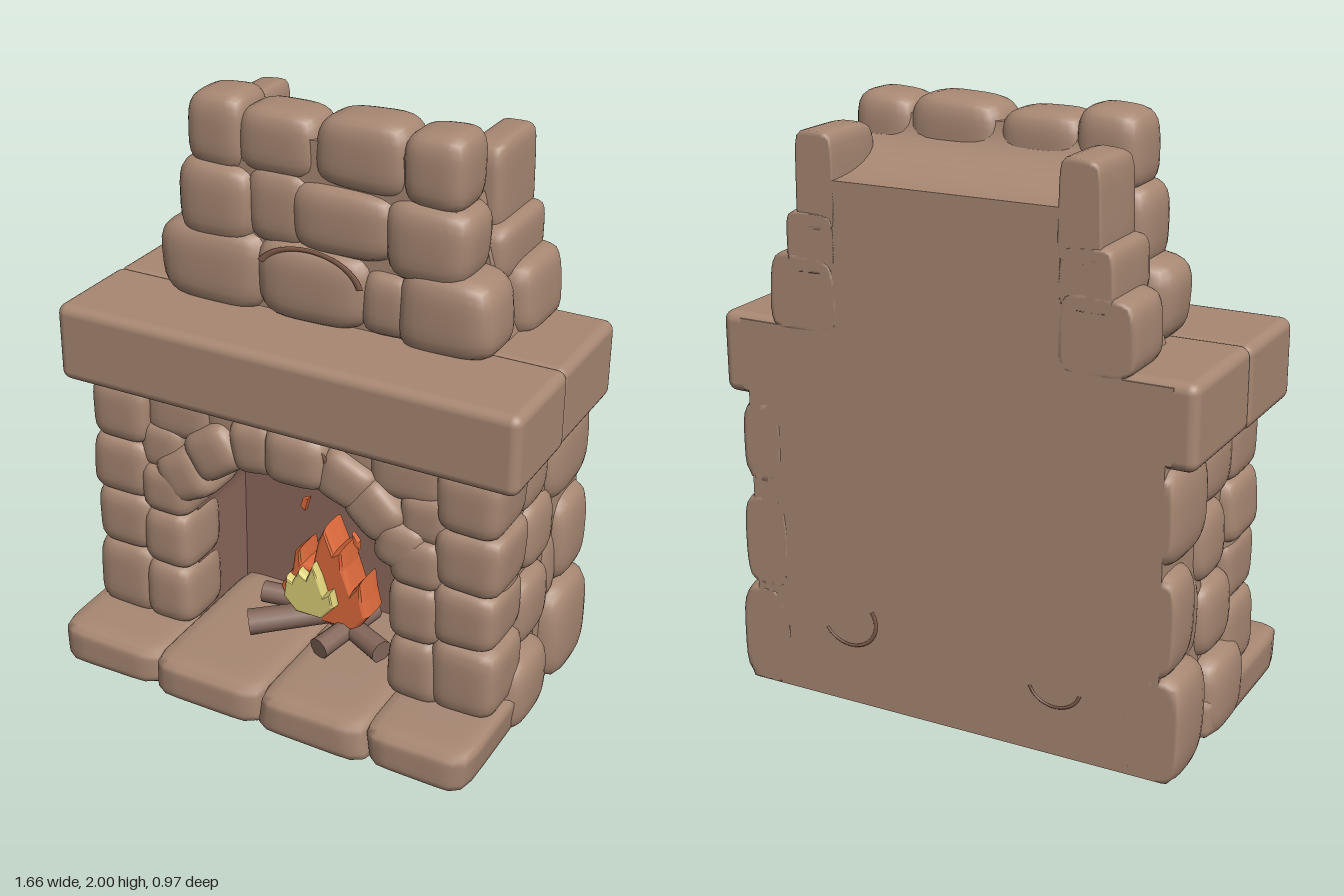
import * as THREE from 'three';
import { mergeVertices } from 'three/addons/utils/BufferGeometryUtils.js';
import { RoundedBoxGeometry } from 'three/addons/geometries/RoundedBoxGeometry.js';

const BACK = -0.48;

export function createModel() {
  const root = new THREE.Group();
  root.name = 'fireplace';
  const mat = (name, color, side = THREE.FrontSide) => {
    const m = new THREE.MeshStandardMaterial({ color, side });
    m.name = name;
    return m;
  };
  const stoneMat = mat('stone', 0xa88873);
  const groutMat = mat('grout', 0x87604f);
  const sootMat = mat('firebox', 0x8c695c, THREE.DoubleSide);
  const woodMat = mat('wood', 0x84675a);
  const orange = mat('flameOrange', 0xdd6a3c);
  const yellow = mat('flameYellow', 0xdccf78);

  let seed = 7;
  const rand = () => (seed = (seed * 16807) % 2147483647) / 2147483647 - 0.5;

  const add = (name, geo, material, parent = root) => {
    const mesh = new THREE.Mesh(geo, material);
    mesh.name = name;
    parent.add(mesh);
    return mesh;
  };
  const group = (name) => {
    const g = new THREE.Group();
    g.name = name;
    root.add(g);
    return g;
  };

  // Pillow-shaped stone filling the given bounds, cut flat at the back and floor
  function stone(parent, x0, x1, y0, y1, z0, z1, p = 4.5, turn = 0) {
    let g = new THREE.BoxGeometry(2, 2, 2, 8, 8, 8);
    g.deleteAttribute('uv');
    g.deleteAttribute('normal');
    g = mergeVertices(g);
    const pos = g.attributes.position;
    const v = new THREE.Vector3();
    const sx = rand() * 0.14, sy = rand() * 0.14;
    for (let i = 0; i < pos.count; i++) {
      v.fromBufferAttribute(pos, i);
      const n = (Math.abs(v.x) ** p + Math.abs(v.y) ** p + Math.abs(v.z) ** p) ** (1 / p);
      v.divideScalar(n);
      const x = v.x * (1 + sx * v.y), y = v.y * (1 + sy * v.x);
      v.set(x * (x1 - x0) / 2, y * (y1 - y0) / 2, v.z * (z1 - z0) / 2);
      v.applyAxisAngle(new THREE.Vector3(0, 0, 1), turn);
      v.add(new THREE.Vector3((x0 + x1) / 2, (y0 + y1) / 2, (z0 + z1) / 2));
      pos.setXYZ(i, v.x, Math.max(v.y, 0), Math.max(v.z, BACK));
    }
    g.computeVertexNormals();
    return add('stone', g, stoneMat, parent);
  }
  // Same stone on both sides of the model
  const pair = (parent, x0, x1, ...rest) => {
    stone(parent, x0, x1, ...rest);
    stone(parent, -x1, -x0, ...rest);
  };

  const extrude = (shape, z0, z1) =>
    new THREE.ExtrudeGeometry(shape, { depth: z1 - z0, bevelEnabled: false, curveSegments: 20 }).translate(0, 0, z0);
  const poly = (pts) => new THREE.Shape(pts.map(([x, y]) => new THREE.Vector2(x, y)));
  const arch = (r, Base = THREE.Shape) => {
    const s = new Base();
    s.moveTo(-r, 0.08);
    s.lineTo(r, 0.08);
    s.lineTo(r, 0.53);
    s.absellipse(0, 0.53, r, r - 0.09, 0, Math.PI, false);
    s.lineTo(-r, 0.08);
    return s;
  };

  // Masonry core with the arched firebox
  const front = poly([[-0.72, 0], [0.72, 0], [0.72, 1.04], [-0.72, 1.04]]);
  front.holes.push(arch(0.4, THREE.Path));
  add('bodyFront', extrude(front, -0.16, 0.2), stoneMat);
  add('bodyBack', new THREE.BoxGeometry(1.46, 1.04, 0.32).translate(0, 0.52, -0.32), stoneMat);
  const lining = arch(0.405);
  lining.holes.push(arch(0.392, THREE.Path));
  add('fireboxWalls', extrude(lining, -0.15, 0.17), sootMat);
  add('fireboxBack', new THREE.ShapeGeometry(arch(0.4), 20).translate(0, 0, -0.15), sootMat);

  // Jambs: inner and outer columns of stones
  const jambs = group('jambs');
  [[0.12, 0.37], [0.35, 0.58], [0.56, 0.75]].forEach(([a, b]) => pair(jambs, 0.375, 0.57, a, b, 0.02, 0.265));
  [[0.12, 0.4], [0.38, 0.61], [0.59, 0.82], [0.8, 1.03]].forEach(([a, b], i) =>
    pair(jambs, 0.53, 0.77 - (i % 2) * 0.01, a, b, 0.0, 0.26, 5));
  pair(jambs, 0.4, 0.58, 0.72, 0.9, 0.02, 0.24);
  pair(jambs, 0.28, 0.56, 0.85, 1.04, 0.02, 0.23);
  pair(jambs, 0.08, 0.34, 0.9, 1.04, 0.02, 0.22);

  // Arch stones
  const ring = group('archStones');
  [[-0.4, 0.73, 0.2, 0.2, 0.5], [-0.28, 0.85, 0.22, 0.19, 0.6], [-0.12, 0.91, 0.19, 0.2, 0.15],
    [0.04, 0.92, 0.24, 0.21, 0], [0.21, 0.88, 0.2, 0.19, -0.4], [0.32, 0.8, 0.2, 0.19, -0.75],
    [0.41, 0.7, 0.18, 0.19, -0.2]].forEach(([x, y, w, h, t], i) =>
    stone(ring, x - w / 2, x + w / 2, y - h / 2, y + h / 2, 0.02, 0.265 + (i === 3 ? 0.02 : 0), 4, t));

  // Stones on the side walls: z range, y range, outer x
  const sides = group('sideStones');
  [[-0.52, -0.17, 0.7, 1.03, 0.775], [-0.24, 0.0, 0.54, 0.8, 0.765], [-0.54, -0.27, 0.34, 0.69, 0.78],
    [-0.21, 0.05, 0.27, 0.54, 0.775], [-0.54, -0.21, -0.03, 0.36, 0.805], [-0.18, 0.12, -0.03, 0.27, 0.805],
    [-0.19, 0.06, 0.78, 1.03, 0.755], [0.0, 0.2, 0.5, 0.8, 0.75], [-0.33, -0.18, 0.3, 0.6, 0.745]]
    .forEach(([z0, z1, y0, y1, x]) => pair(sides, 0.6, x, y0, y1, z0, z1, 3.2));

  // Hearth slabs
  const hearth = group('hearth');
  [[-0.79, -0.385, 0.465], [-0.4, 0.025, 0.485], [0.01, 0.425, 0.49], [0.41, 0.775, 0.475]].forEach(([a, b, z]) =>
    stone(hearth, a, b, -0.01, 0.142, -0.2, z, 9));

  // Mantel: long front beam and two returns to the back
  const mantel = group('mantel');
  const slab = (x0, x1, z0, z1) => add('mantelStone', new RoundedBoxGeometry(x1 - x0, 0.275, z1 - z0, 3, 0.035)
    .translate((x0 + x1) / 2, 1.16, (z0 + z1) / 2), stoneMat, mantel);
  slab(-0.83, 0.83, -0.07, 0.31);
  slab(0.3, 0.825, BACK, -0.04);
  slab(-0.825, -0.3, BACK, -0.04);
  add('mantelCore', new THREE.BoxGeometry(1.5, 0.24, 0.42).translate(0, 1.16, -0.27), stoneMat, mantel);

  // Chimney core: front wall, back block and the hollow sweep between them
  const chimney = group('chimney');
  add('frontWall', extrude(poly([[-0.55, 1.28], [0.55, 1.28], [0.43, 1.9], [-0.43, 1.9]]), -0.17, -0.01), stoneMat, chimney);
  add('backBlock', extrude(poly([[-0.59, 1.28], [0.59, 1.28], [0.46, 1.76], [-0.46, 1.76]]), BACK, -0.15), stoneMat, chimney);
  const sweep = new THREE.Shape();
  sweep.moveTo(BACK, 1.7);
  sweep.lineTo(-0.12, 1.7);
  sweep.lineTo(-0.12, 1.93);
  sweep.lineTo(-0.17, 1.93);
  sweep.quadraticCurveTo(-0.2, 1.77, BACK, 1.765);
  add('hollow', extrude(sweep, -0.41, 0.41).rotateY(-Math.PI / 2), stoneMat, chimney);

  // Chimney front stones, row by row: x range, y range, front z
  [[-0.61, -0.2, 1.27, 1.56, 0.05], [-0.24, 0.18, 1.28, 1.56, 0.05], [0.14, 0.34, 1.29, 1.52, 0.03], [0.27, 0.61, 1.27, 1.56, 0.05],
    [-0.53, -0.24, 1.5, 1.78, 0.045], [-0.28, -0.04, 1.52, 1.79, 0.02], [-0.12, 0.27, 1.53, 1.77, 0.035], [0.22, 0.52, 1.5, 1.77, 0.04],
    [-0.5, -0.28, 1.74, 2.0, 0.02], [-0.32, -0.02, 1.75, 1.975, 0.01], [-0.04, 0.3, 1.75, 1.995, 0.015], [0.27, 0.49, 1.74, 1.99, 0.02]]
    .forEach(([x0, x1, y0, y1, z]) => stone(chimney, x0, x1, y0, y1, -0.2, z, 3.8));
  // Chimney side stones
  pair(chimney, 0.38, 0.63, 1.27, 1.52, -0.56, -0.22);
  pair(chimney, 0.38, 0.56, 1.46, 1.66, -0.56, -0.17);
  pair(chimney, 0.38, 0.515, 1.6, 1.91, -0.56, -0.21, 6);

  // Mortar arcs: x, y, z, radius x, radius y, start, length
  const mortar = group('mortar');
  [[-0.03, 1.43, 0.035, 0.19, 0.12, 0.2, 2.5], [0.37, 0.3, BACK, 0.1, 0.09, 2.6, 3.2],
    [-0.38, 0.25, BACK, 0.09, 0.08, 3.4, 2.6], [0.04, 0.91, 0.25, 0.12, 0.11, -0.7, 1.3],
    [-0.54, 0.25, 0.225, 0.02, 0.1, 2.2, 2], [0.55, 0.25, 0.225, 0.02, 0.1, -1, 2]]
    .forEach(([x, y, z, rx, ry, start, len]) => {
      const arc = add('mortarArc', new THREE.TorusGeometry(1, 0.07, 5, 20, len).rotateZ(start), groutMat, mortar);
      arc.position.set(x, y, z);
      arc.scale.set(rx, ry, 0.06);
    });

  // Logs
  const logs = group('logs');
  const log = (a, b, r) => {
    const p = new THREE.Vector3(...a), q = new THREE.Vector3(...b);
    const m = add('log', new THREE.CylinderGeometry(r, r * 1.1, p.distanceTo(q), 9), woodMat, logs);
    m.position.copy(p).add(q).multiplyScalar(0.5);
    m.quaternion.setFromUnitVectors(new THREE.Vector3(0, 1, 0), q.sub(p).normalize());
  };
  log([-0.18, 0.185, 0.19], [0.08, 0.225, 0.03], 0.042);
  log([-0.22, 0.2, 0.02], [0.02, 0.19, -0.03], 0.036);
  log([0.3, 0.18, 0.12], [0.02, 0.2, 0.0], 0.038);
  log([0.1, 0.175, 0.2], [0.18, 0.21, -0.06], 0.036);

  // Flames
  const fire = group('fire');
  const flame = (name, pts, z, depth, bevel, material) => {
    const g = new THREE.ExtrudeGeometry(poly(pts), { depth, bevelThickness: bevel, bevelSize: bevel * 0.4,
      bevelOffset: -bevel * 0.4, bevelSegments: 3 });
    add(name, g.translate(0, 0, z - depth / 2), material, fire);
  };
  flame('outerFlame', [[-0.06, 0.2], [0.18, 0.2], [0.23, 0.27], [0.215, 0.33], [0.2, 0.41], [0.165, 0.36], [0.14, 0.44],
    [0.13, 0.52], [0.1, 0.5], [0.06, 0.585], [0.03, 0.52], [0.01, 0.42], [-0.02, 0.42], [-0.03, 0.48], [-0.06, 0.45],
    [-0.07, 0.38], [-0.115, 0.3]], 0.03, 0.05, 0.04, orange);
  flame('innerFlame', [[-0.03, 0.24], [0.07, 0.24], [0.12, 0.3], [0.105, 0.36], [0.08, 0.34], [0.06, 0.4], [0.035, 0.45],
    [0.01, 0.39], [-0.02, 0.41], [-0.045, 0.36], [-0.07, 0.37], [-0.08, 0.29]], 0.09, 0.03, 0.025, yellow);
  flame('emberLeft', [[-0.06, 0.61], [-0.04, 0.595], [-0.025, 0.65], [-0.05, 0.64]], 0.03, 0.01, 0.006, orange);
  flame('emberRight', [[0.145, 0.52], [0.165, 0.5], [0.165, 0.53], [0.14, 0.56]], 0.03, 0.01, 0.006, orange);

  return root;
}
